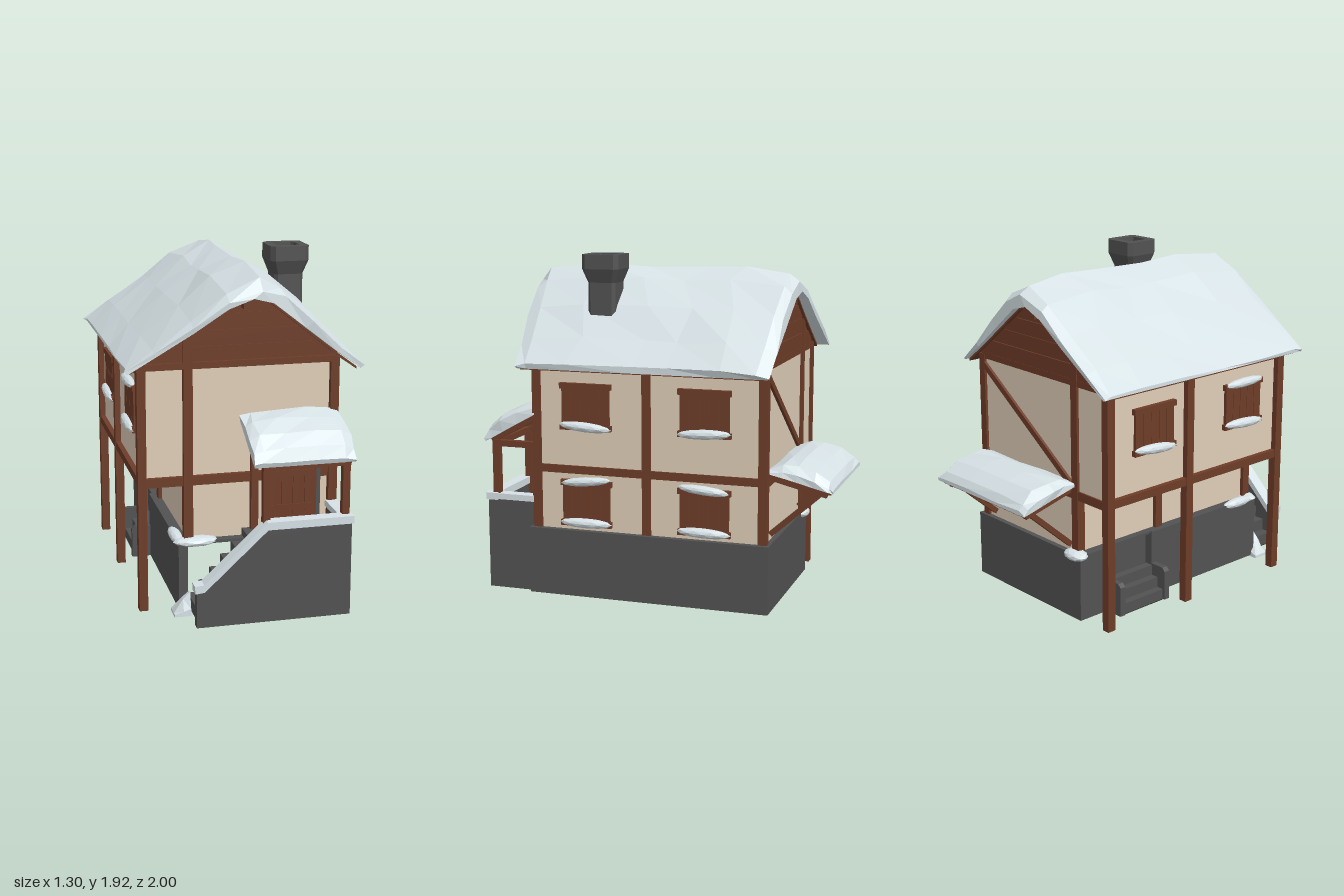
import * as THREE from 'three';

const mat = (name, color) => Object.assign(new THREE.MeshStandardMaterial({ color }), { name });
const wood = mat('wood', 0x6e3d28);
const plaster = mat('plaster', 0xdfceb8);
const stone = mat('stone', 0x525252);
const snow = mat('snow', 0xd6e1e5);

export function createModel() {
  const model = new THREE.Group();
  model.name = 'snowyHouse';
  let seed = 7;
  const rnd = (a) => { seed = (seed * 16807) % 2147483647; return (seed / 2147483647 - 0.5) * 2 * a; };

  const add = (name, geo, material) => {
    const m = new THREE.Mesh(geo, material);
    m.name = name;
    model.add(m);
    return m;
  };
  // box given by its limits on each axis
  const box = (name, material, x0, x1, y0, y1, z0, z1) => {
    const m = add(name, new THREE.BoxGeometry(x1 - x0, y1 - y0, z1 - z0), material);
    m.position.set((x0 + x1) / 2, (y0 + y1) / 2, (z0 + z1) / 2);
  };
  // square timber between two points
  const beam = (name, a, b, w, d = w) => {
    const p = new THREE.Vector3(...a), q = new THREE.Vector3(...b);
    const m = add(name, new THREE.BoxGeometry(w, d, p.distanceTo(q)), wood);
    m.position.copy(p).add(q).multiplyScalar(0.5);
    m.lookAt(q);
  };
  // outline in x and y, extruded from z0 to z1
  const plate = (name, material, pts, z0, z1) => {
    const shape = new THREE.Shape(pts.map((p) => new THREE.Vector2(...p)));
    const geo = new THREE.ExtrudeGeometry(shape, { depth: z1 - z0, bevelEnabled: false });
    geo.translate(0, 0, z0);
    add(name, geo, material);
  };
  // thin folded flight of steps rising towards +x
  const stairs = (name, x, y, run, rise, n, z0, z1) => {
    const up = [];
    for (let i = 0; i < n; i++) up.push([x + i * run, y + i * rise], [x + i * run, y + (i + 1) * rise]);
    up.push([x + n * run, y + n * rise]);
    plate(name, stone, [...up, ...up.map(([a, b]) => [a + 0.012, b - 0.012]).reverse()], z0, z1);
  };
  // faceted shell joined from cross-sections, each a top line and a bottom line of equal length
  const loft = (name, material, sections) => {
    const loops = sections.map(([top, bottom]) => [...top, ...bottom.slice().reverse()]);
    const n = loops[0].length, v = [];
    const quad = (a, b, c, d) => [a, b, c, a, c, d].forEach((p) => v.push(...p));
    for (let s = 0; s + 1 < loops.length; s++)
      for (let i = 0; i < n; i++) {
        const j = (i + 1) % n;
        quad(loops[s][i], loops[s][j], loops[s + 1][j], loops[s + 1][i]);
      }
    const first = loops[0], last = loops[loops.length - 1];
    for (let i = 0; i < n / 2 - 1; i++) {
      quad(first[i], first[n - 1 - i], first[n - 2 - i], first[i + 1]);
      quad(last[i], last[i + 1], last[n - 2 - i], last[n - 1 - i]);
    }
    // turn the faces outward if the enclosed volume is negative
    let vol = 0;
    const P = (k) => new THREE.Vector3(v[k], v[k + 1], v[k + 2]);
    for (let k = 0; k < v.length; k += 9) vol += P(k).dot(P(k + 3).cross(P(k + 6)));
    if (vol < 0)
      for (let k = 0; k < v.length; k += 9)
        for (let c = 0; c < 3; c++) [v[k + 3 + c], v[k + 6 + c]] = [v[k + 6 + c], v[k + 3 + c]];
    const geo = new THREE.BufferGeometry();
    geo.setAttribute('position', new THREE.Float32BufferAttribute(v, 3));
    geo.computeVertexNormals();
    add(name, geo, material);
  };
  // small faceted heap of snow
  const lump = (name, x, y, z, sx, sy, sz, tilt = 0) => {
    const geo = new THREE.IcosahedronGeometry(1, 1);
    geo.scale(sx, sy, sz);
    geo.computeVertexNormals();
    const m = add(name, geo, snow);
    m.position.set(x, y, z);
    m.rotation.x = tilt;
  };

  // stone base, open below and towards the porch, with a recess for the side steps
  box('baseRightWall', stone, 0.525, 0.54, 0.01, 0.39, -0.67, 0.72);
  box('baseBackWall', stone, -0.37, 0.525, 0.01, 0.39, -0.67, -0.655);
  box('baseLeftWall', stone, -0.37, -0.355, 0.01, 0.39, -0.655, -0.445);
  box('baseLeftWall', stone, -0.37, -0.355, 0.01, 0.39, -0.135, 0.72);
  box('baseFrontStub', stone, -0.355, -0.32, 0.01, 0.39, 0.705, 0.72);
  box('baseLedge', stone, -0.355, -0.29, 0.375, 0.39, -0.655, 0.72);
  box('baseLedge', stone, 0.5, 0.525, 0.375, 0.39, -0.655, 0.72);
  box('baseLedge', stone, -0.29, 0.5, 0.375, 0.39, -0.655, -0.63);
  box('baseLedge', stone, -0.29, 0.5, 0.375, 0.39, 0.65, 0.72);

  // side steps between cheek walls
  stairs('sideSteps', -0.465, 0.01, 0.045, 0.06, 3, -0.445, -0.135);
  box('stepBackWall', stone, -0.32, -0.305, 0.01, 0.39, -0.46, -0.12);
  for (const z of [-0.475, -0.14])
    plate('stepCheek', stone, [[-0.48, 0.01], [-0.31, 0.01], [-0.31, 0.385], [-0.365, 0.385], [-0.365, 0.2],
      [-0.46, 0.2], [-0.48, 0.18]], z, z + 0.035);

  // plastered storeys, the lower one hollow
  box('lowerRightWall', plaster, 0.493, 0.505, 0.385, 0.73, -0.64, 0.67);
  box('lowerLeftWall', plaster, -0.312, -0.3, 0.385, 0.73, -0.64, 0.67);
  box('lowerFrontWall', plaster, -0.3, 0.493, 0.385, 0.73, 0.658, 0.67);
  box('lowerBackWall', plaster, -0.3, 0.493, 0.385, 0.73, -0.64, -0.628);
  box('upperWalls', plaster, -0.55, 0.505, 0.73, 1.35, -0.64, 0.67);

  // timber frame
  const rows = [0.675, 0.028, -0.63];
  for (const z of rows) {
    const mid = z === rows[1], zo = mid ? -0.05 : z;
    box('rightPost', wood, 0.47, 0.517, 0.385, 1.36, z - 0.025, z + 0.025);
    box('outerPost', wood, -0.582, -0.535, 0.01, 1.37, zo - 0.025, zo + 0.025);
    box('innerPost', wood, -0.335, -0.285, 0.385, mid ? 0.73 : 1.53, zo - 0.025, zo + 0.025);
    box('floorJoist', wood, -0.56, 0.5, 0.7, 0.75, zo - 0.02, zo + 0.02);
  }
  for (const z of [rows[0], rows[2]]) box('gableTie', wood, -0.56, 0.5, 1.335, 1.37, z - 0.022, z + 0.022);
  for (const x of [-0.557, 0.492]) {
    box('sideBeam', wood, x - 0.022, x + 0.022, 0.71, 0.755, -0.64, 0.68);
    box('topBeam', wood, x - 0.022, x + 0.022, 1.31, 1.36, -0.64, 0.68);
  }
  box('innerBeam', wood, -0.33, -0.29, 0.7, 0.74, -0.63, 0.67);
  beam('backBrace', [0.48, 1.3, -0.642], [-0.3, 0.76, -0.642], 0.028, 0.035);

  // main roof under snow, with boards beneath
  const roofTop = [[-0.645, 1.36], [-0.5, 1.465], [-0.3, 1.62], [-0.12, 1.765], [0.05, 1.845],
    [0.18, 1.78], [0.34, 1.64], [0.5, 1.475], [0.632, 1.34]];
  const roofLow = [[-0.64, 1.34], [-0.49, 1.43], [-0.3, 1.545], [-0.12, 1.665], [0.01, 1.715],
    [0.12, 1.685], [0.3, 1.545], [0.48, 1.405], [0.62, 1.305]];
  const stations = [[0.83, 0.3], [0.77, 0.75], [0.42, 1.02], [0.1, 0.98], [-0.15, 0.93], [-0.4, 1],
    [-0.66, 0.75], [-0.715, 0.4]];
  loft('roofSnow', snow, stations.map(([z, full], s) => {
    const end = s < 2 || s > 5;
    const zAt = (x) => z - (s < 2 ? Math.max(0.14 * x, -0.09 * x) : s > 5 ? Math.min(0.03 * -x, -0.06 * x) : 0);
    return [
      roofTop.map(([x, y], i) => [x + rnd(0.012), roofLow[i][1] + (y - roofLow[i][1]) * full + rnd(0.009),
        zAt(x) + rnd(end ? 0.01 : 0.07)]),
      roofLow.map(([x, y]) => [x, y, zAt(x)]),
    ];
  }));
  loft('roofBoards', wood, [-0.665, 0.73].map((z) =>
    [roofLow.map(([x, y]) => [x * 0.97, y + 0.006, z]), roofLow.map(([x, y]) => [x * 0.97, y - 0.008, z])]));
  beam('ridgeBeam', [0, 1.67, -0.68], [0, 1.67, 0.74], 0.045);

  // boarded gables, each row of planks following the slope
  const gable = [[-0.565, 1.35], [-0.565, 1.385], ...roofLow.slice(1, 8), [0.51, 1.385], [0.51, 1.35]].reverse();
  const half = (y) => 0.53 * Math.min(1, (1.73 - y) / 0.33);
  for (const z of [0.66, -0.63]) {
    plate('gableBoard', wood, gable, z - 0.012, z + 0.012);
    for (let i = 0; i < 4; i++) {
      const y0 = 1.37 + i * 0.085, y1 = Math.min(y0 + 0.08, 1.71), c = -0.01, dz = rnd(0.004);
      plate('gablePlank', wood, [[c - half(y0), y0], [c + half(y0), y0], [c + half(y1), y1], [c - half(y1), y1]],
        z - 0.018 + dz, z + 0.018 + dz);
    }
  }

  // chimney with flared cap, open all the way down
  const flue = [[0.08, 1.5], [0.08, 1.765], [0.107, 1.84], [0.107, 1.92], [0.062, 1.92], [0.062, 1.55]];
  const octagon = (r, y) => {
    const c = r * 0.78;
    return [[r, c], [c, r], [-c, r], [-r, c], [-r, -c], [-c, -r], [c, -r], [r, -c]]
      .map(([a, b]) => [0.315 + a, y, 0.33 + b]);
  };
  const cv = [];
  for (let s = 0; s + 1 < flue.length; s++) {
    const a = octagon(...flue[s]), b = octagon(...flue[s + 1]);
    for (let i = 0; i < 8; i++) {
      const j = (i + 1) % 8;
      [a[i], b[i], b[j], a[i], b[j], a[j]].forEach((p) => cv.push(...p));
    }
  }
  const chimney = new THREE.BufferGeometry();
  chimney.setAttribute('position', new THREE.Float32BufferAttribute(cv, 3));
  chimney.computeVertexNormals();
  add('chimney', chimney, stone);

  // shuttered windows with snowy sills
  const shutter = (side, z, y, topSnow) => {
    const x = side > 0 ? 0.51 : -0.555;
    for (let i = -2; i <= 2; i++)
      box('shutterPlank', wood, x - 0.014, x + 0.014 + rnd(0.002), y + 0.01 + rnd(0.004), y + 0.25,
        z + i * 0.056 - 0.0265, z + i * 0.056 + 0.0265);
    for (const k of [0.005, 0.235])
      box('shutterRail', wood, x - 0.022, x + 0.022, y + k, y + k + 0.032, z - 0.15, z + 0.15);
    lump('sillSnow', x + side * 0.02, y + 0.025, z, 0.033, 0.028, 0.155, rnd(0.1));
    if (topSnow) lump('lintelSnow', x + side * 0.018, y + 0.262, z, 0.03, 0.026, 0.15, rnd(0.1));
  };
  for (const z of [0.38, -0.305]) {
    shutter(1, z, 0.955, false);
    shutter(1, z, 0.41, true);
    shutter(-1, z, 0.955, z > 0);
  }

  // porch: sloped parapet, side wall, landing and stairs
  const rail = [[-0.33, 0.215], [-0.28, 0.22], [0, 0.48], [0.06, 0.535], [0.51, 0.535]];
  plate('porchWall', stone, [[-0.33, 0.01], [0.51, 0.01], ...rail.slice().reverse()], 0.935, 0.985);
  box('porchSideWall', stone, 0.46, 0.51, 0.01, 0.535, 0.71, 0.936);
  box('landing', stone, 0.05, 0.465, 0.415, 0.43, 0.665, 0.94);
  stairs('porchStairs', -0.31, 0.01, 0.06, 0.07, 6, 0.665, 0.94);
  plate('parapetSnow', snow, [...rail.map(([x, y]) => [x - 0.01, y - 0.01]), [0.52, 0.525],
    [0.52, 0.565], ...rail.slice().reverse().map(([x, y]) => [x - 0.012, y + 0.032])], 0.925, 0.995);
  box('sideParapetSnow', snow, 0.45, 0.518, 0.53, 0.564, 0.7, 0.93);
  loft('stairFootSnow', snow, [[0.7, 0.05], [0.735, 0.12], [0.775, 0.13], [0.8, 0.04]].map(([z, h]) =>
    [[[-0.41, 0.015, z], [-0.36, h * 0.7, z], [-0.32, h, z]], [[-0.41, 0, z], [-0.36, 0, z], [-0.32, 0, z]]]));
  lump('ledgeSnow', -0.27, 0.385, 0.69, 0.125, 0.028, 0.055);
  lump('ledgeSnow', -0.36, 0.385, 0.58, 0.035, 0.028, 0.12);
  lump('ledgeSnow', -0.31, 0.38, -0.65, 0.08, 0.032, 0.055);

  // door in a chamfered stone surround
  const arch = (x0, x1, top, c) => [[x0, 0.43], [x1, 0.43], [x1, top - c], [x1 - c, top], [x0 + c, top], [x0, top - c]];
  plate('doorFrame', stone, arch(0.1, 0.42, 0.85, 0.05), 0.66, 0.705);
  plate('door', wood, arch(0.125, 0.395, 0.835, 0.04), 0.69, 0.715);
  for (let i = 0; i < 4; i++)
    box('doorPlank', wood, 0.132 + i * 0.065, 0.191 + i * 0.065, 0.44, 0.815, 0.7, 0.722 + rnd(0.002));
  for (const y of [0.53, 0.72]) box('doorBatten', wood, 0.135, 0.385, y, y + 0.035, 0.715, 0.728);

  // porch roof on posts
  for (const x of [0.052, 0.485]) {
    box('porchPost', wood, x - 0.02, x + 0.02, 0.42, 0.87, 0.915, 0.955);
    box('porchWallPost', wood, x - 0.02, x + 0.02, 0.4, 0.87, 0.675, 0.71);
    box('porchSideBeam', wood, x - 0.018, x + 0.018, 0.835, 0.87, 0.68, 0.95);
    beam('porchRafter', [x, 1.01, 0.7], [x, 0.87, 0.96], 0.035);
  }
  box('porchBeam', wood, 0.03, 0.51, 0.835, 0.872, 0.917, 0.953);
  // snow canopy running along x, with a z and y profile
  const canopy = (name, top, low, xs) => loft(name, snow, xs.map(([x, full]) => [
    top.map(([z, y], i) => [x + rnd(0.012), low[i][1] + (y - low[i][1]) * full + rnd(0.006), z]),
    low.map(([z, y]) => [x, y, z]),
  ]));
  canopy('porchSnow', [[1, 0.89], [0.97, 0.955], [0.9, 1.02], [0.8, 1.07], [0.69, 1.09]],
    [[0.99, 0.865], [0.95, 0.885], [0.88, 0.925], [0.8, 0.97], [0.69, 1.03]],
    [[-0.025, 0.65], [0.02, 0.92], [0.15, 1], [0.33, 1], [0.46, 0.93], [0.52, 0.6]]);

  // back awning with slats and braces
  canopy('awningSnow', [[-0.64, 0.79], [-0.72, 0.825], [-0.8, 0.83], [-0.9, 0.8], [-0.975, 0.75], [-1, 0.71]],
    [[-0.64, 0.775], [-0.72, 0.757], [-0.8, 0.738], [-0.9, 0.712], [-0.97, 0.695], [-1, 0.688]],
    [[-0.31, 0.45], [-0.26, 0.9], [-0.05, 1], [0.2, 0.95], [0.42, 0.9], [0.465, 0.45]]);
  for (let i = 0; i < 5; i++) {
    const z = -0.67 - i * 0.073, y = 0.758 - i * 0.0185;
    box('awningSlat', wood, -0.29, 0.44, y - 0.008, y + 0.008, z - 0.022, z + 0.022);
  }
  for (const x of [-0.26, 0.075, 0.41]) beam('awningRafter', [x, 0.745, -0.65], [x, 0.668, -0.96], 0.03);
  for (const x of [-0.26, 0.41]) beam('awningBrace', [x, 0.43, -0.65], [x, 0.68, -0.93], 0.03);

  return model;
}
